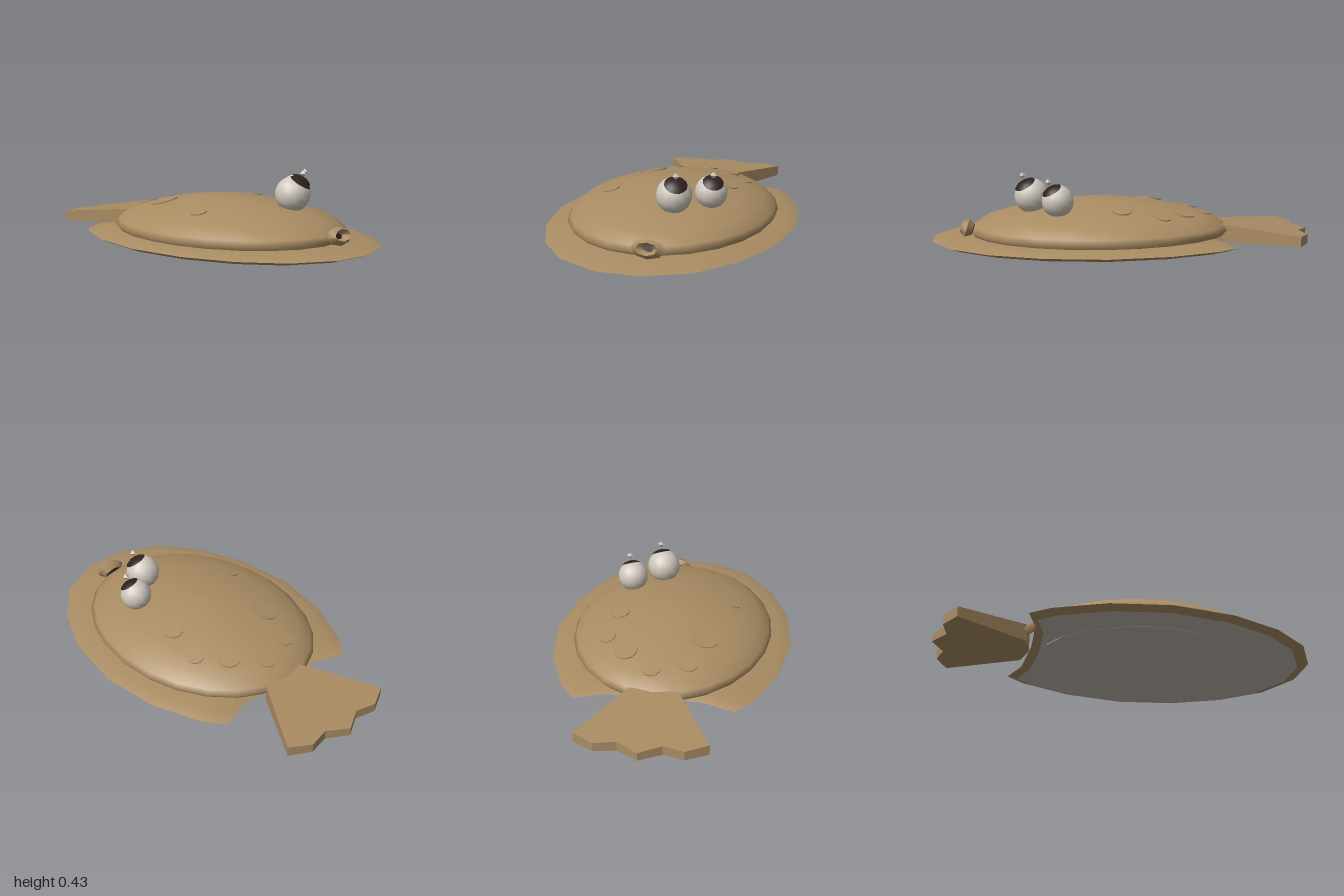
import * as THREE from 'three';
import { toCreasedNormals } from 'three/addons/utils/BufferGeometryUtils.js';

const CZ = 0.12; // middle of the oval body

// Mirror half an outline (running from +z round +x to -z) into a closed loop
function mirrorOutline(half) {
  const other = half.filter(([x]) => x !== 0).reverse().map(([x, z]) => [-x, z]);
  return [...half, ...other];
}

// Skin a list of rings (bottom to top), each an array of [x, y, z]
function loft(rings, crease = 0.6) {
  const n = rings[0].length, index = [];
  for (let r = 0; r < rings.length - 1; r++) {
    for (let i = 0; i < n; i++) {
      const a = r * n + i, b = r * n + (i + 1) % n;
      index.push(a, b, a + n, b + n, a + n, b);
    }
  }
  const geo = new THREE.BufferGeometry();
  geo.setAttribute('position', new THREE.Float32BufferAttribute(rings.flat(2), 3));
  geo.setIndex(index);
  return toCreasedNormals(geo, crease);
}

// Scale an outline about (0, cz) and set its height by a rule
function ring(outline, cz, s, height) {
  return outline.map(([x, z]) => [x * s, height(z), cz + (z - cz) * s]);
}

// Oval lathe: profile of [radius 0..1, y]
function ovalLathe(profile, rx, rz) {
  const geo = new THREE.LatheGeometry(profile.map(([r, y]) => new THREE.Vector2(r, y)), 24);
  return geo.scale(rx, 1, rz).translate(0, 0, CZ);
}

export function createModel() {
  const group = new THREE.Group();
  const material = (name, color) => {
    const m = new THREE.MeshStandardMaterial({ color });
    m.name = name;
    return m;
  };
  const brown = material('sandy brown', 0xa98c63);
  const pale = material('belly grey', 0xbdb7ae);
  const white = material('eye white', 0xd0c8bc);
  const dark = material('pupil dark', 0x2e2120);

  const add = (name, geo, mat, parent = group) => {
    const mesh = new THREE.Mesh(geo, mat);
    mesh.name = name;
    parent.add(mesh);
    return mesh;
  };

  // Domed back
  const dome = [[0.96, 0.085], [1, 0.115], [0.97, 0.14], [0.87, 0.185], [0.7, 0.217],
    [0.5, 0.247], [0.3, 0.267], [0.12, 0.277], [0, 0.279]];
  add('body', ovalLathe(dome, 0.535, 0.69), brown);

  // Fin skirt around the body, notched at the tail
  const skirt = mirrorOutline([[0.11, 0.995], [0.33, 0.885], [0.49, 0.69], [0.6, 0.43],
    [0.645, 0.11], [0.6, -0.2], [0.49, -0.46], [0.41, -0.56], [0.26, -0.505], [0, -0.49]]);
  const level = (s, y) => ring(skirt, CZ, s, () => y);
  add('finSkirt', loft([level(0.93, 0.05), level(1, 0.07), level(0.91, 0.092), level(0.6, 0.095)]), brown);
  add('finUnderside', loft([level(0, 0.034), level(0.7, 0.038), level(0.93, 0.05)]), pale);

  // Shallow belly
  add('belly', ovalLathe([[0, 0.003], [0.5, 0.018], [1, 0.035], [0.99, 0.045]], 0.46, 0.57), pale);

  // Wedge-shaped tail fin
  const tail = mirrorOutline([[0, -0.5], [0.125, -0.53], [0.33, -0.9], [0.22, -0.96],
    [0.11, -0.935], [0, -1]]);
  const tailTop = (z) => THREE.MathUtils.mapLinear(z, -0.55, -1, 0.14, 0.1);
  const tailLow = (z) => THREE.MathUtils.mapLinear(z, -0.55, -1, 0.05, 0.056);
  const mid = -0.75;
  add('tail', loft([
    ring(tail, mid, 0, () => tailLow(mid)), ring(tail, mid, 1, tailLow),
    ring(tail, mid, 1, tailTop), ring(tail, mid, 0, () => tailTop(mid)),
  ], 0.5), brown);

  // Eyes, both on the same side, each with a pupil cap and a floating glint
  const look = new THREE.Vector3(0.27, 0.84, 0.46).normalize();
  const eyes = [[0.11, 0.307, 0.477, 0.091], [0.263, 0.3, 0.345, 0.083]];
  for (const [x, y, z, r] of eyes) {
    const eye = new THREE.Group();
    eye.name = 'eye';
    eye.position.set(x, y, z);
    group.add(eye);
    add('eyeball', new THREE.SphereGeometry(r, 14, 10), white, eye);
    const pupil = add('pupil', new THREE.SphereGeometry(r * 1.03, 14, 4, 0, Math.PI * 2, 0, 0.67), dark, eye);
    pupil.quaternion.setFromUnitVectors(new THREE.Vector3(0, 1, 0), look);
    const glint = add('glint', new THREE.OctahedronGeometry(0.018), white, eye);
    glint.position.set(0.024, r * 1.2, 0.048);
  }

  // Pouting mouth
  const mouth = new THREE.Group();
  mouth.name = 'mouth';
  mouth.position.set(0.088, 0.138, 0.815);
  mouth.rotation.x = -0.3;
  group.add(mouth);
  const lips = add('lips', toCreasedNormals(new THREE.TorusGeometry(0.056, 0.03, 4, 8), 0.6), brown, mouth);
  lips.scale.set(1, 0.56, 1);
  const inside = add('mouthInside', new THREE.CylinderGeometry(0.048, 0.048, 0.008, 8), dark, mouth);
  inside.rotation.x = Math.PI / 2;
  inside.scale.z = 0.6;
  inside.position.z = -0.03;

  // Thin round spots laid on the back
  const heightAt = (x, z) => {
    const r = Math.hypot(x / 0.535, (z - CZ) / 0.69);
    for (let i = 3; i < dome.length - 1; i++) {
      const [r0, y0] = dome[i], [r1, y1] = dome[i + 1];
      if (r <= r0 && r >= r1) return THREE.MathUtils.mapLinear(r, r0, r1, y0, y1);
    }
    return dome[3][1];
  };
  const spots = [[-0.15, -0.37, 0.05], [0.03, -0.43, 0.05], [0.18, -0.31, 0.06], [0.3, -0.19, 0.042],
    [0.27, 0.02, 0.05], [-0.21, -0.16, 0.075], [-0.31, 0.23, 0.045]];
  for (const [x, z, r] of spots) {
    const spot = add('spot', new THREE.CylinderGeometry(r, r, 0.008, 10), brown);
    spot.position.set(x, heightAt(x, z), z);
    const d = 0.04;
    const normal = new THREE.Vector3(heightAt(x - d, z) - heightAt(x + d, z), 2 * d,
      heightAt(x, z - d) - heightAt(x, z + d)).normalize();
    spot.quaternion.setFromUnitVectors(new THREE.Vector3(0, 1, 0), normal);
  }

  return group;
}
